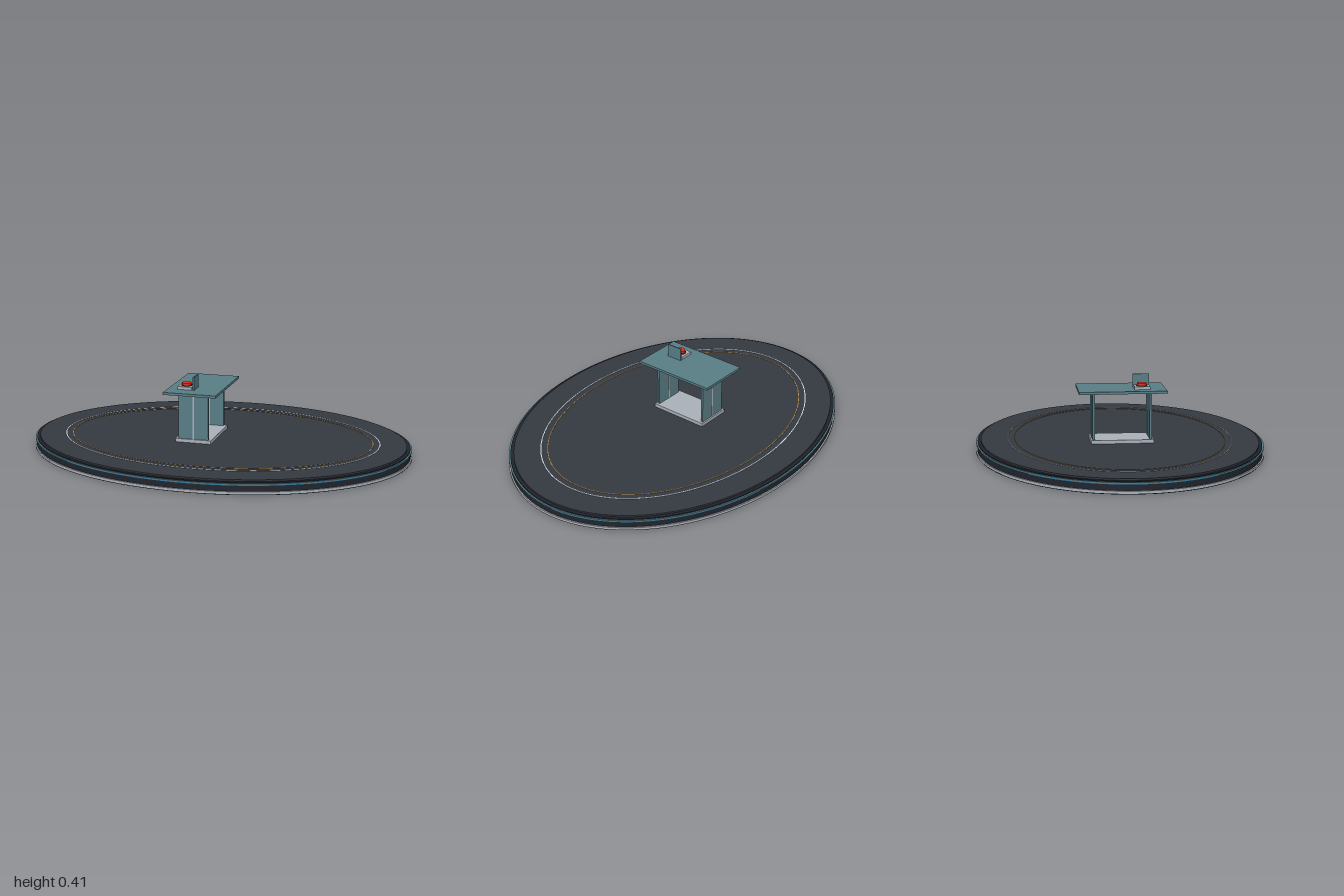
import * as THREE from 'three';

const RX = 1, RZ = 0.745;
const mat = (color) => new THREE.MeshStandardMaterial({ color });
const mats = {
  floor: mat(0x343840), body: mat(0x20242c), under: mat(0x17181b), metal: mat(0xa9b0b8),
  blue: mat(0x2277a8), glass: mat(0x587c84), white: mat(0xd5dde8), amber: mat(0xb08a4c), red: mat(0xdd3322),
};

function add(parent, name, geometry, material, x = 0, y = 0, z = 0) {
  const mesh = new THREE.Mesh(geometry, material);
  mesh.name = name;
  mesh.position.set(x, y, z);
  parent.add(mesh);
  return mesh;
}

// Oval slab, inset from the outer outline, between two heights
function oval(parent, name, inset, y0, y1, material) {
  const g = new THREE.CylinderGeometry(1, 1, y1 - y0, 128);
  g.scale(RX - inset, 1, RZ - inset);
  return add(parent, name, g, material, 0, (y0 + y1) / 2, 0);
}

// Thin oval line inlaid in the floor
function ovalLine(parent, name, inset, width, y0, height, material) {
  const s = new THREE.Shape().absellipse(0, 0, RX - inset, RZ - inset, 0, Math.PI * 2);
  s.holes.push(new THREE.Path().absellipse(0, 0, RX - inset - width, RZ - inset - width, 0, Math.PI * 2));
  const g = new THREE.ExtrudeGeometry(s, { depth: height, bevelEnabled: false, curveSegments: 128 });
  g.rotateX(-Math.PI / 2);
  return add(parent, name, g, material, 0, y0, 0);
}

// Box given by its minimum and maximum corners
function box(parent, name, [x0, y0, z0], [x1, y1, z1], material) {
  return add(parent, name, new THREE.BoxGeometry(x1 - x0, y1 - y0, z1 - z0), material,
    (x0 + x1) / 2, (y0 + y1) / 2, (z0 + z1) / 2);
}

export function createModel() {
  const model = new THREE.Group();

  // Oval stage, layered from the ground up
  const stage = new THREE.Group();
  stage.name = 'stage';
  model.add(stage);
  oval(stage, 'underside', 0.003, 0, 0.006, mats.under);
  oval(stage, 'baseTrim', 0, 0.004, 0.016, mats.metal);
  oval(stage, 'stageBody', 0.007, 0.016, 0.046, mats.body);
  oval(stage, 'lightStrip', 0.003, 0.046, 0.053, mats.blue);
  ovalLine(stage, 'glassRim', 0.002, 0.012, 0.050, 0.005, mats.glass);
  oval(stage, 'upperBody', 0.010, 0.053, 0.060, mats.body);
  oval(stage, 'floor', 0.027, 0.060, 0.068, mats.floor);
  ovalLine(stage, 'whiteLine', 0.163, 0.005, 0.066, 0.004, mats.white);
  ovalLine(stage, 'amberLine', 0.199, 0.004, 0.066, 0.004, mats.amber);

  // Table with two panel legs
  const table = new THREE.Group();
  table.name = 'table';
  model.add(table);
  const cx = -0.104;
  box(table, 'footPlate', [cx - 0.095, 0.068, -0.16], [cx + 0.095, 0.086, 0.16], mats.metal);
  for (const s of [-1, 1]) {
    const z = s * 0.146;
    box(table, 'legPanel', [cx - 0.08, 0.086, z - 0.006], [cx + 0.08, 0.33, z + 0.006], mats.glass);
    box(table, 'legStrip', [cx - 0.004, 0.086, z - 0.0075], [cx + 0.004, 0.33, z + 0.0075], mats.metal);
  }
  box(table, 'tableTop', [cx - 0.14, 0.330, -0.224], [cx + 0.14, 0.343, 0.224], mats.glass);

  // Push button and upright screen on the table
  const control = new THREE.Group();
  control.name = 'control';
  model.add(control);
  box(control, 'buttonBox', [-0.19, 0.343, 0.062], [-0.115, 0.358, 0.142], mats.metal);
  add(control, 'buttonCollar', new THREE.CylinderGeometry(0.028, 0.028, 0.004, 32), mats.body, -0.153, 0.36, 0.102);
  add(control, 'button', new THREE.CylinderGeometry(0.024, 0.024, 0.012, 32), mats.red, -0.153, 0.367, 0.102);
  box(control, 'screen', [-0.108, 0.343, 0.06], [-0.102, 0.412, 0.145], mats.glass);

  return model;
}
